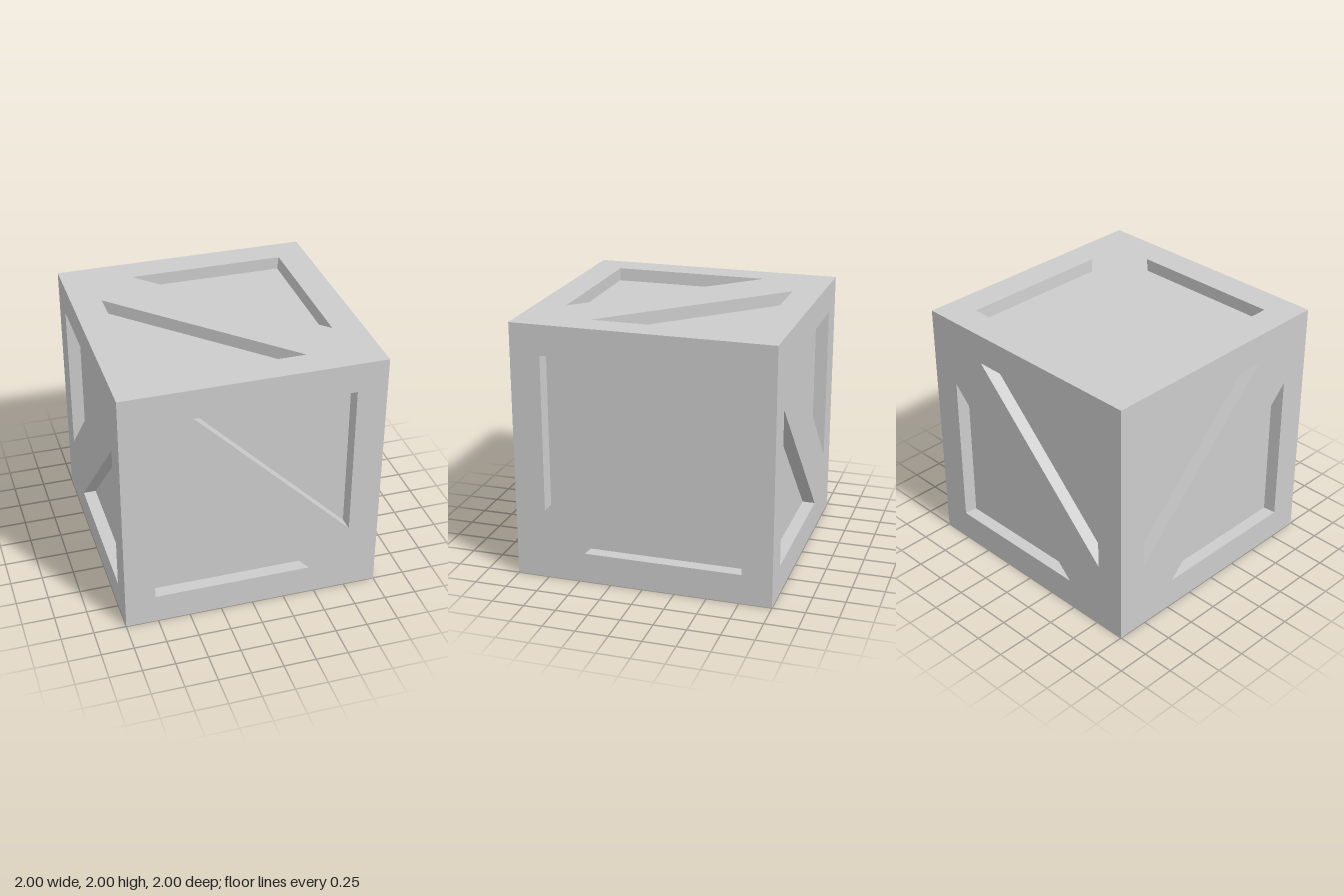
import * as THREE from 'three';

const HALF = 1;         // half the crate's side
const DEPTH = 0.1;      // depth of the recessed panels
const EDGE = 0.767;     // inner edge of the border boards
const TIP = -0.455;     // sharp ends of the triangular recesses
const DRAFT = 0.01;     // slight slope of the upright recess walls

const material = new THREE.MeshStandardMaterial({ color: 0xcccccc, flatShading: true });

function addMesh(parent, name, geometry, z = 0) {
  const mesh = new THREE.Mesh(geometry, material);
  mesh.name = name;
  mesh.position.z = z;
  parent.add(mesh);
}

const toShape = (pts) => new THREE.Shape(pts.map(([x, y]) => new THREE.Vector2(x, y)));

// Sloping walls between a counter-clockwise rim and the floor below it
function wallGeometry(rim, floor) {
  const pos = [];
  rim.forEach((a, i) => {
    const j = (i + 1) % rim.length;
    const A = [...a, HALF], B = [...rim[j], HALF];
    const a2 = [...floor[i], HALF - DEPTH], b2 = [...floor[j], HALF - DEPTH];
    pos.push(...b2, ...a2, ...A, ...b2, ...A, ...B);
  });
  const geometry = new THREE.BufferGeometry();
  geometry.setAttribute('position', new THREE.Float32BufferAttribute(pos, 3));
  geometry.computeVertexNormals();
  return geometry;
}

// One side facing +z: border and diagonal board around two triangular recesses
function createSide(name, mirrored) {
  const side = new THREE.Group();
  side.name = name;
  const rim = [[TIP, EDGE], [EDGE, TIP], [EDGE, EDGE]];
  const floor = [[TIP, EDGE], [EDGE - DRAFT, TIP + DRAFT], [EDGE - DRAFT, EDGE]];
  const board = toShape([[-HALF, -HALF], [HALF, -HALF], [HALF, HALF], [-HALF, HALF]]);

  for (const s of [1, -1]) {
    const place = (pts) => {
      const out = pts.map(([x, y]) => [x * s * (mirrored ? -1 : 1), y * s]);
      return mirrored ? out.reverse() : out;
    };
    const r = place(rim), f = place(floor);
    board.holes.push(toShape(r));
    addMesh(side, 'recessWalls', wallGeometry(r, f));
    addMesh(side, 'recessedPanel', new THREE.ShapeGeometry(toShape(f)), HALF - DEPTH);
  }
  addMesh(side, 'frameAndBrace', new THREE.ShapeGeometry(board), HALF);
  return side;
}

export function createModel() {
  const crate = new THREE.Group();
  crate.name = 'crate';
  const q = Math.PI / 2;
  // name, mirrored brace, rotation about x, rotation about y
  const sides = [
    ['frontSide', false, 0, 0],
    ['backSide', false, 0, 2 * q],
    ['leftSide', true, 0, q],
    ['rightSide', true, 0, -q],
    ['topSide', false, -q, 0],
    ['bottomSide', true, q, 0],
  ];
  for (const [name, mirrored, rx, ry] of sides) {
    const side = createSide(name, mirrored);
    side.rotation.set(rx, ry, 0);
    side.position.y = HALF;
    crate.add(side);
  }
  return crate;
}
